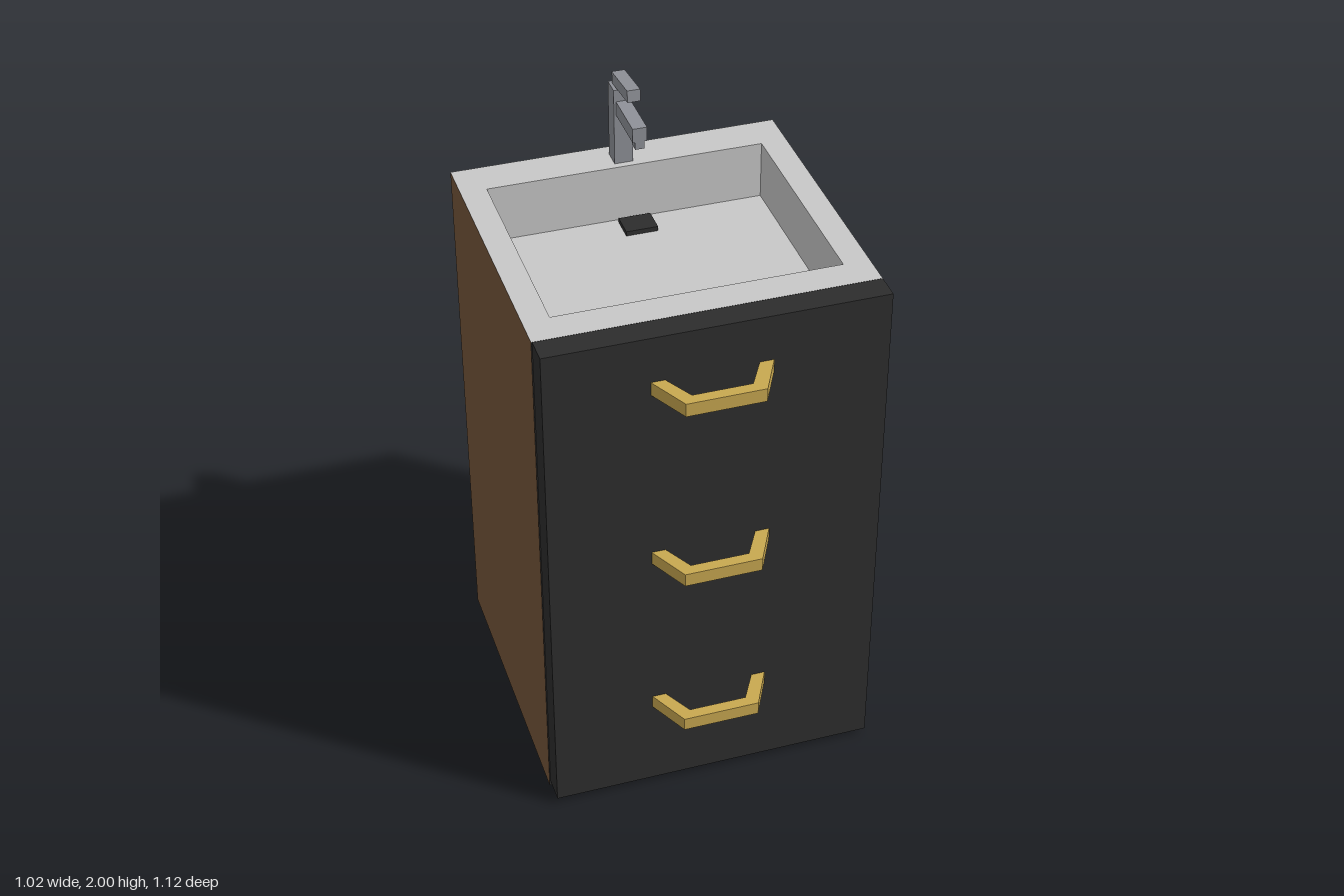
import * as THREE from 'three';

const mat = (name, color, side = THREE.FrontSide) => {
  const m = new THREE.MeshStandardMaterial({ color, side });
  m.name = name;
  return m;
};

export function createModel() {
  const wood = mat('brown wood', 0x75563a, THREE.DoubleSide);
  const dark = mat('charcoal', 0x2d2d2d, THREE.DoubleSide);
  const stone = mat('light grey stone', 0xc8c8c8, THREE.DoubleSide);
  const steel = mat('steel grey', 0x8f9198);
  const gold = mat('gold', 0xc8a850);

  const model = new THREE.Group();
  model.name = 'washbasinCabinet';

  const add = (name, geometry, material, parent = model) => {
    const mesh = new THREE.Mesh(geometry, material);
    mesh.name = name;
    parent.add(mesh);
    return mesh;
  };
  // Box given by its limits on each axis
  const box = (name, [x0, x1], [y0, y1], [z0, z1], material, parent) => {
    const mesh = add(name, new THREE.BoxGeometry(x1 - x0, y1 - y0, z1 - z0), material, parent);
    mesh.position.set((x0 + x1) / 2, (y0 + y1) / 2, (z0 + z1) / 2);
    return mesh;
  };
  // Thin sheet: centre, size and turn
  const sheet = (name, w, h, pos, rot, material, parent) => {
    const mesh = add(name, new THREE.PlaneGeometry(w, h), material, parent);
    mesh.position.set(...pos);
    mesh.rotation.set(...rot);
    return mesh;
  };

  const W = 0.51, TOP = 1.695, BACK = -0.565, FRONT = 0.355;
  const depth = FRONT - BACK, midZ = (FRONT + BACK) / 2, q = Math.PI / 2;

  // Cabinet shell, open underneath
  const cabinet = new THREE.Group();
  cabinet.name = 'cabinet';
  model.add(cabinet);
  sheet('backPanel', 2 * W, TOP, [0, TOP / 2, BACK], [0, Math.PI, 0], wood, cabinet);
  for (const s of [-1, 1]) {
    sheet(s > 0 ? 'leftSide' : 'rightSide', depth, TOP, [s * W, TOP / 2, midZ], [0, s * q, 0], wood, cabinet);
  }
  sheet('innerFront', 2 * W, TOP, [0, TOP / 2, FRONT], [0, 0, 0], dark, cabinet);
  box('frontPanel', [-0.507, W], [0.02, TOP], [FRONT + 0.001, 0.436], dark, cabinet);

  // Sink: flat rim with a rectangular basin
  const sink = new THREE.Group();
  sink.name = 'sink';
  model.add(sink);
  const bx = 0.43, bz0 = -0.44, bz1 = 0.255, floor = 1.51;
  const rect = (Type, x, z0, z1) => new Type([
    new THREE.Vector2(-x, -z1), new THREE.Vector2(x, -z1),
    new THREE.Vector2(x, -z0), new THREE.Vector2(-x, -z0),
  ]);
  const rimShape = rect(THREE.Shape, W, BACK, FRONT);
  rimShape.holes.push(rect(THREE.Path, bx, bz0, bz1));
  const rim = add('rim', new THREE.ShapeGeometry(rimShape), stone, sink);
  rim.rotation.x = -q;
  rim.position.y = TOP;
  const h = TOP - floor, my = (TOP + floor) / 2, mz = (bz0 + bz1) / 2;
  sheet('basinFloor', 2 * bx, bz1 - bz0, [0, floor, mz], [-q, 0, 0], stone, sink);
  sheet('basinBack', 2 * bx, h, [0, my, bz0], [0, 0, 0], stone, sink);
  sheet('basinFront', 2 * bx, h, [0, my, bz1], [0, Math.PI, 0], stone, sink);
  for (const s of [-1, 1]) sheet('basinSide', bz1 - bz0, h, [s * bx, my, mz], [0, -s * q, 0], stone, sink);
  box('drain', [-0.03, 0.07], [floor, floor + 0.015], [-0.425, -0.345], dark, sink);

  // Faucet
  const faucet = new THREE.Group();
  faucet.name = 'faucet';
  model.add(faucet);
  box('post', [-0.029, 0.029], [TOP, 1.945], [-0.521, -0.462], steel, faucet);
  box('spout', [-0.022, 0.022], [1.86, 1.906], [-0.462, -0.295], steel, faucet);
  box('nozzle', [-0.014, 0.014], [1.835, 1.86], [-0.33, -0.297], steel, faucet);
  const lever = box('lever', [-0.02, 0.02], [1.954, 1.991], [-0.509, -0.351], steel, faucet);
  lever.rotation.x = -0.12;

  // Drawer pulls
  const pull = new THREE.Shape([
    [-0.197, 0.436], [-0.155, 0.436], [-0.107, 0.525], [0.07, 0.525],
    [0.12, 0.436], [0.163, 0.436], [0.1, 0.56], [-0.135, 0.56],
  ].map(([x, z]) => new THREE.Vector2(x, z)));
  const pullGeometry = new THREE.ExtrudeGeometry(pull, { depth: 0.043, bevelEnabled: false });
  pullGeometry.rotateX(q);
  for (const y of [1.547, 0.937, 0.364]) add('drawerPull', pullGeometry, gold).position.y = y;

  return model;
}
